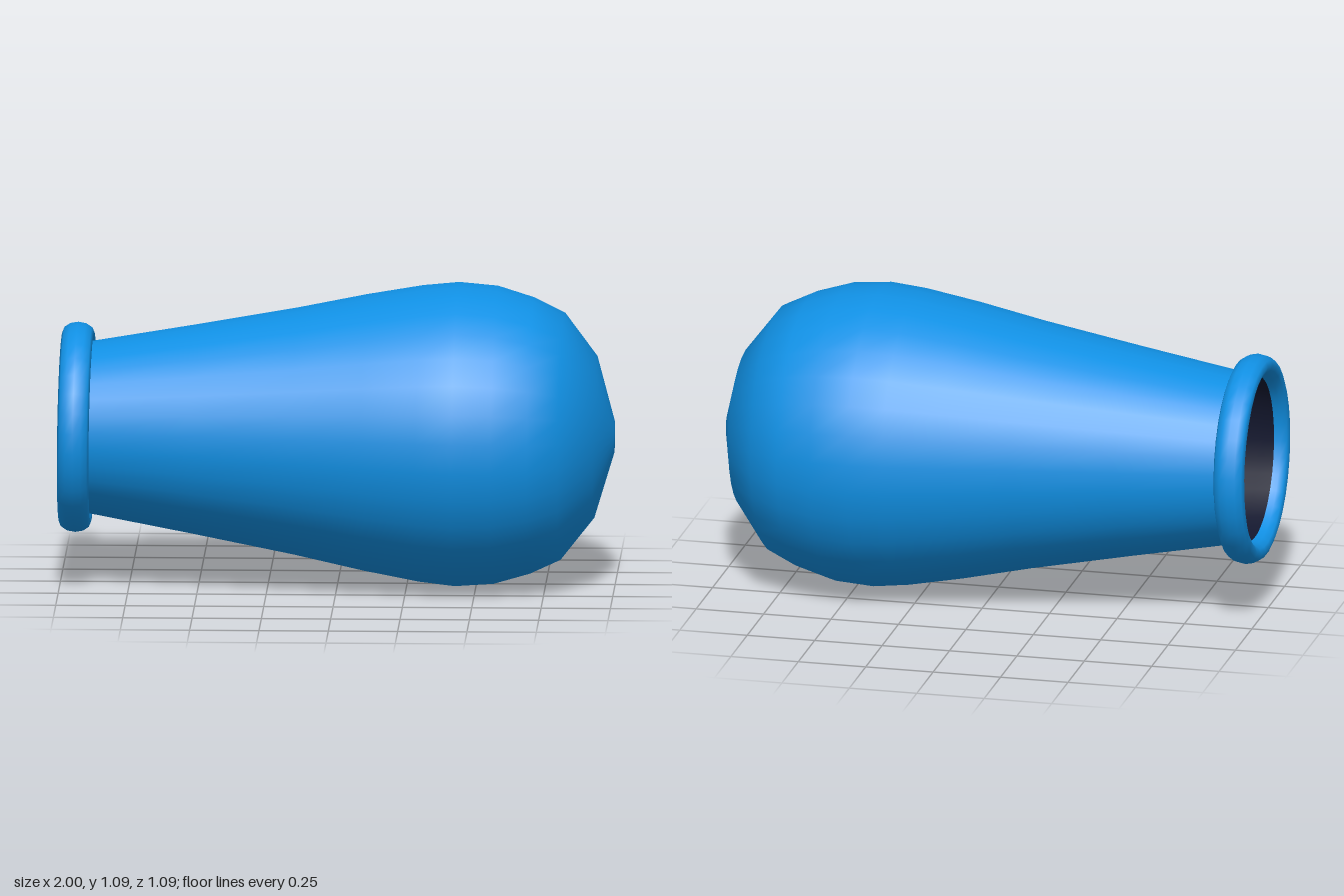
import * as THREE from 'three';

const SIDES = 32;

// Lathe around the x axis; points are [x, radius]
function latheX(points, name, material) {
  const profile = points.map(([x, r]) => new THREE.Vector2(r, x));
  const geometry = new THREE.LatheGeometry(profile, SIDES, Math.PI / SIDES, Math.PI * 2);
  geometry.rotateZ(-Math.PI / 2);
  const mesh = new THREE.Mesh(geometry, material);
  mesh.name = name;
  return mesh;
}

export function createModel() {
  const model = new THREE.Group();
  model.name = 'bulb';
  const blue = new THREE.MeshStandardMaterial({ color: 0x1090e4 });
  const dark = new THREE.MeshStandardMaterial({ color: 0x14182f });

  // Bulb body: straight flaring neck into a rounded end
  const outline = [
    [-0.95, 0.302], [-0.89, 0.312], [-0.52, 0.378], [-0.15, 0.447], [0.1, 0.5], [0.3, 0.536],
    [0.43, 0.55], [0.57, 0.539], [0.7, 0.5], [0.81, 0.448], [0.93, 0.293], [0.998, 0.058], [1, 0],
  ];
  const body = latheX(outline, 'body', blue);

  // Dark hollow inside, facing inward
  const inner = outline.map(([x, r]) => [x > 0 ? x * 0.985 : x, r * 0.985]).reverse();
  const hollow = latheX(inner, 'hollow', dark);

  // Rolled rim around the mouth
  const ring = [];
  for (let i = 0; i <= 12; i++) {
    const t = Math.PI + (i / 12) * Math.PI * 2;
    ring.push([-0.942 + 0.057 * Math.sin(t), 0.342 + 0.038 * Math.cos(t)]);
  }
  const rim = latheX(ring, 'rim', blue);

  // The whole bulb leans very slightly
  const tilted = new THREE.Group();
  tilted.name = 'tiltedBulb';
  tilted.add(body, hollow, rim);
  tilted.rotation.set(0, -0.007, -0.012);
  tilted.position.set(0, 0.553, -0.003);
  model.add(tilted);
  return model;
}
